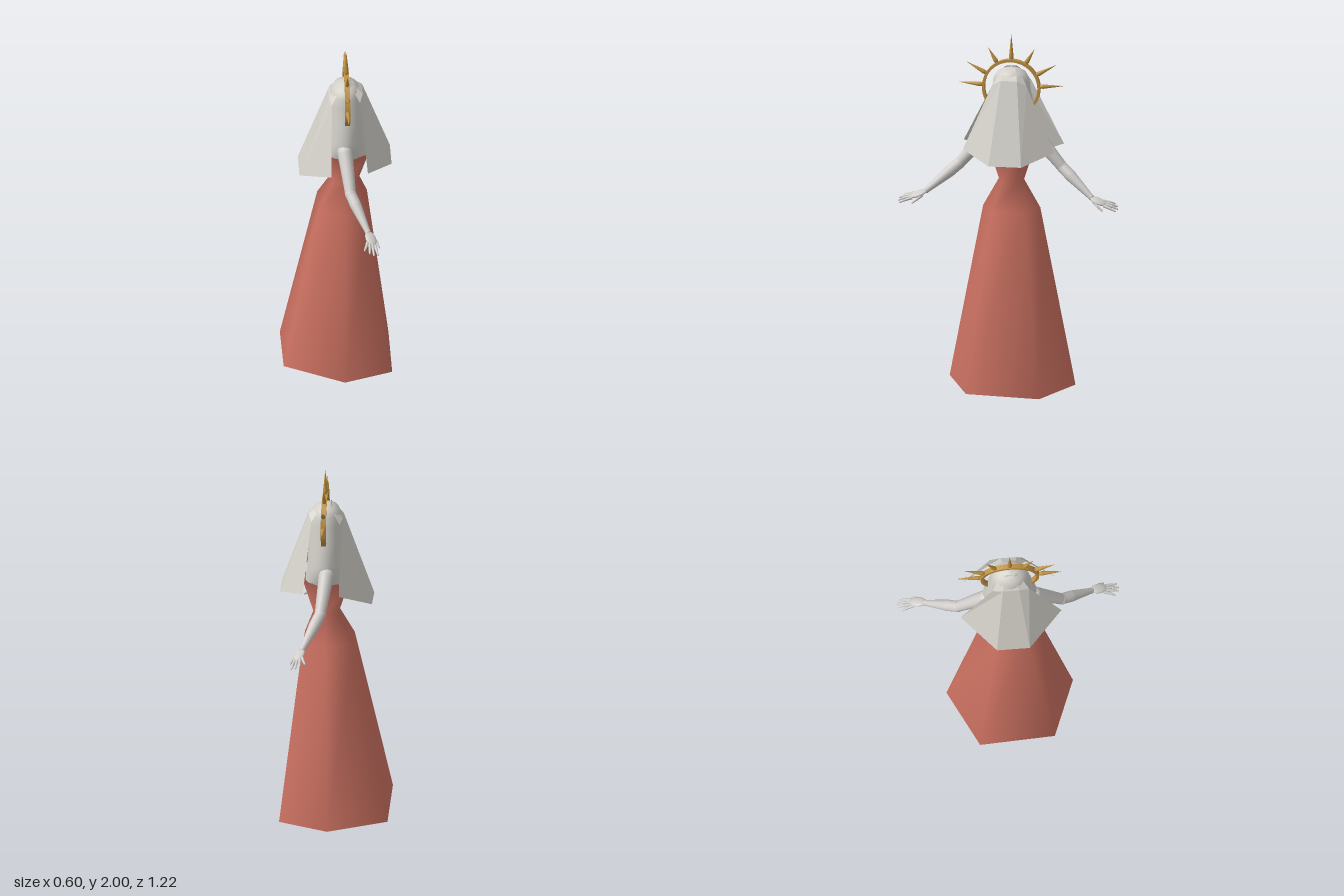
import * as THREE from 'three';

const V = (x, y, z) => new THREE.Vector3(x, y, z);
const mat = (name, color, side = THREE.FrontSide) => {
  const m = new THREE.MeshStandardMaterial({ color, side });
  m.name = name;
  return m;
};

// Skin between cross-sections listed from bottom to top, each counterclockwise from above
function loft(rows, closed, flat) {
  const n = rows[0].length, index = [];
  for (let i = 0; i < rows.length - 1; i++) {
    for (let j = 0; j < (closed ? n : n - 1); j++) {
      const k = (j + 1) % n;
      const a = i * n + j, b = i * n + k, c = a + n, d = b + n;
      index.push(a, b, d, a, d, c);
    }
  }
  let g = new THREE.BufferGeometry();
  g.setAttribute('position', new THREE.Float32BufferAttribute(rows.flat(2), 3));
  g.setIndex(index);
  if (flat) g = g.toNonIndexed();
  g.computeVertexNormals();
  return g;
}

export function createModel() {
  const dressRed = mat('dress red', 0xca7060, THREE.DoubleSide);
  const veilGrey = mat('veil grey', 0xd3d0c9, THREE.DoubleSide);
  const skinGrey = mat('skin grey', 0xd0cdca);
  const gold = mat('gold', 0xbf9242);

  const root = new THREE.Group();
  root.name = 'veiledFigure';
  const add = (name, geometry, material, parent = root) => {
    const m = new THREE.Mesh(geometry, material);
    m.name = name;
    parent.add(m);
    return m;
  };

  // Tapered round piece between two points
  const limb = (name, a, b, ra, rb, material, parent, sides = 14) => {
    const m = add(name, new THREE.CylinderGeometry(rb, ra, a.distanceTo(b), sides), material, parent);
    m.position.copy(a).lerp(b, 0.5);
    m.quaternion.setFromUnitVectors(V(0, 1, 0), b.clone().sub(a).normalize());
    return m;
  };
  const ball = (name, p, r, material, parent) => {
    const m = add(name, new THREE.SphereGeometry(r, 14, 10), material, parent);
    m.position.copy(p);
    return m;
  };

  // Dress: six-sided sections with smooth shading and an uneven hem
  const hex = (y, x0, x1, xm, zc, zm) => [
    [x1, y, zc], [x1, y, -zc], [xm, y, -zm], [x0, y, -zc], [x0, y, zc], [xm, y, zm],
  ];
  const hem = [
    [0.295, 0.012, 0.215], [0.295, 0, -0.19], [0.02, 0.012, -0.35],
    [-0.3, 0.018, -0.19], [-0.3, 0.075, 0.22], [0.03, 0.04, 0.345],
  ];
  add('dress', loft([
    hem,
    hex(1.02, -0.1, 0.172, 0.04, 0.09, 0.158),
    hex(1.18, -0.02, 0.115, 0.05, 0.042, 0.07),
    hex(1.37, -0.08, 0.17, 0.05, 0.075, 0.13),
  ], true), dressRed);

  // Covered head and shoulders: oval sections [y, x radius, z radius]
  const ovals = [
    [1.365, 0.115, 0.12], [1.42, 0.108, 0.142], [1.48, 0.1, 0.148], [1.6, 0.097, 0.125],
    [1.7, 0.093, 0.105], [1.75, 0.085, 0.1], [1.79, 0.066, 0.078], [1.81, 0.032, 0.036], [1.813, 0, 0],
  ].map(([y, rx, rz]) => Array.from({ length: 20 }, (_, i) => {
    const t = i / 20 * Math.PI * 2;
    return [0.05 + rx * Math.cos(t), y, -rz * Math.sin(t)];
  }));
  add('headAndShoulders', loft(ovals, true), veilGrey);

  // Veil panels: rows of an open edge and a crease, mirrored in z
  const panel = (name, rows, s) => add(name, loft(rows.map(([edge, crease]) => {
    const put = ([x, y, z], k) => [x, y, z * k * s];
    return [put(edge, 1), put(crease, 1), put(crease, -1), put(edge, -1)];
  }), false, true), veilGrey);
  panel('frontVeil', [
    [[0.16, 1.367, 0.252], [0.298, 1.315, 0.09]],
    [[0.125, 1.73, 0.095], [0.143, 1.76, 0.045]],
    [[0.07, 1.81, 0.04], [0.075, 1.815, 0.025]],
  ], 1);
  panel('backVeil', [
    [[-0.04, 1.365, 0.277], [-0.207, 1.255, 0.09]],
    [[-0.03, 1.72, 0.1], [-0.043, 1.735, 0.045]],
    [[0.03, 1.81, 0.04], [0.022, 1.815, 0.025]],
  ], -1);

  // Halo: a flat band arc in the x = 0.055 plane with seven spikes
  const halo = new THREE.Group();
  halo.name = 'halo';
  halo.position.set(0.055, 1.7, 0);
  halo.rotation.y = Math.PI / 2;
  root.add(halo);
  const low = -0.66, arc = new THREE.Shape();
  arc.absarc(0, 0, 0.161, low, Math.PI - low, false);
  arc.absarc(0, 0, 0.146, Math.PI - low, low, true);
  const band = new THREE.ExtrudeGeometry(arc, { depth: 0.028, bevelEnabled: false, curveSegments: 40 });
  add('haloBand', band.translate(0, 0, -0.014), gold, halo);
  const spikes = [[4, 0.29], [29, 0.284], [60, 0.255], [90, 0.3], [120, 0.255], [151, 0.284], [176, 0.29]];
  for (const [deg, r] of spikes) {
    const t = deg * Math.PI / 180;
    const at = (d) => V(Math.cos(t) * d, Math.sin(t) * d, 0);
    limb('haloSpike', at(0.152), at(0.175), 0.008, 0.013, gold, halo, 8);
    limb('haloSpike', at(0.175), at(r), 0.013, 0.0005, gold, halo, 8);
  }

  // Arms: mirrored in z, reaching outward and forward
  for (const s of [1, -1]) {
    const arm = new THREE.Group();
    arm.name = s > 0 ? 'armAtPositiveZ' : 'armAtNegativeZ';
    root.add(arm);
    const P = (x, y, z) => V(x, y, z * s);
    const shoulder = P(0.04, 1.432, 0.135), elbow = P(0.063, 1.26, 0.285), wrist = P(0.148, 1.122, 0.455);
    ball('shoulder', shoulder, 0.042, skinGrey, arm);
    limb('upperArm', shoulder, elbow, 0.042, 0.03, skinGrey, arm);
    ball('elbow', elbow, 0.032, skinGrey, arm);
    const bulge = elbow.clone().lerp(wrist, 0.3);
    limb('forearm', elbow, bulge, 0.031, 0.032, skinGrey, arm);
    limb('forearm', bulge, wrist, 0.032, 0.016, skinGrey, arm);
    ball('wrist', wrist, 0.017, skinGrey, arm);

    // Palm: a flattened ball lined up with the hand
    const palm = ball('palm', P(0.163, 1.105, 0.497), 1, skinGrey, arm);
    palm.scale.set(0.031, 0.013, 0.05);
    palm.rotation.set(s * 0.36, s * 0.25, -0.3);
    // Fingers: knuckle, middle joint and tip
    const fingers = [
      [[0.143, 1.1, 0.525], [0.135, 1.093, 0.558], [0.125, 1.085, 0.582]],
      [[0.155, 1.094, 0.535], [0.154, 1.087, 0.572], [0.152, 1.077, 0.6]],
      [[0.17, 1.089, 0.537], [0.173, 1.08, 0.575], [0.175, 1.068, 0.605]],
      [[0.183, 1.085, 0.53], [0.191, 1.074, 0.565], [0.197, 1.062, 0.595]],
      [[0.175, 1.1, 0.475], [0.194, 1.083, 0.498], [0.207, 1.064, 0.525]],
    ];
    for (const f of fingers) {
      const [a, b, c] = f.map((p) => P(...p));
      limb('finger', a, b, 0.009, 0.0075, skinGrey, arm, 8);
      ball('fingerJoint', b, 0.0076, skinGrey, arm);
      limb('finger', b, c, 0.0075, 0.005, skinGrey, arm, 8);
      ball('fingerTip', c, 0.005, skinGrey, arm);
    }
  }
  return root;
}
